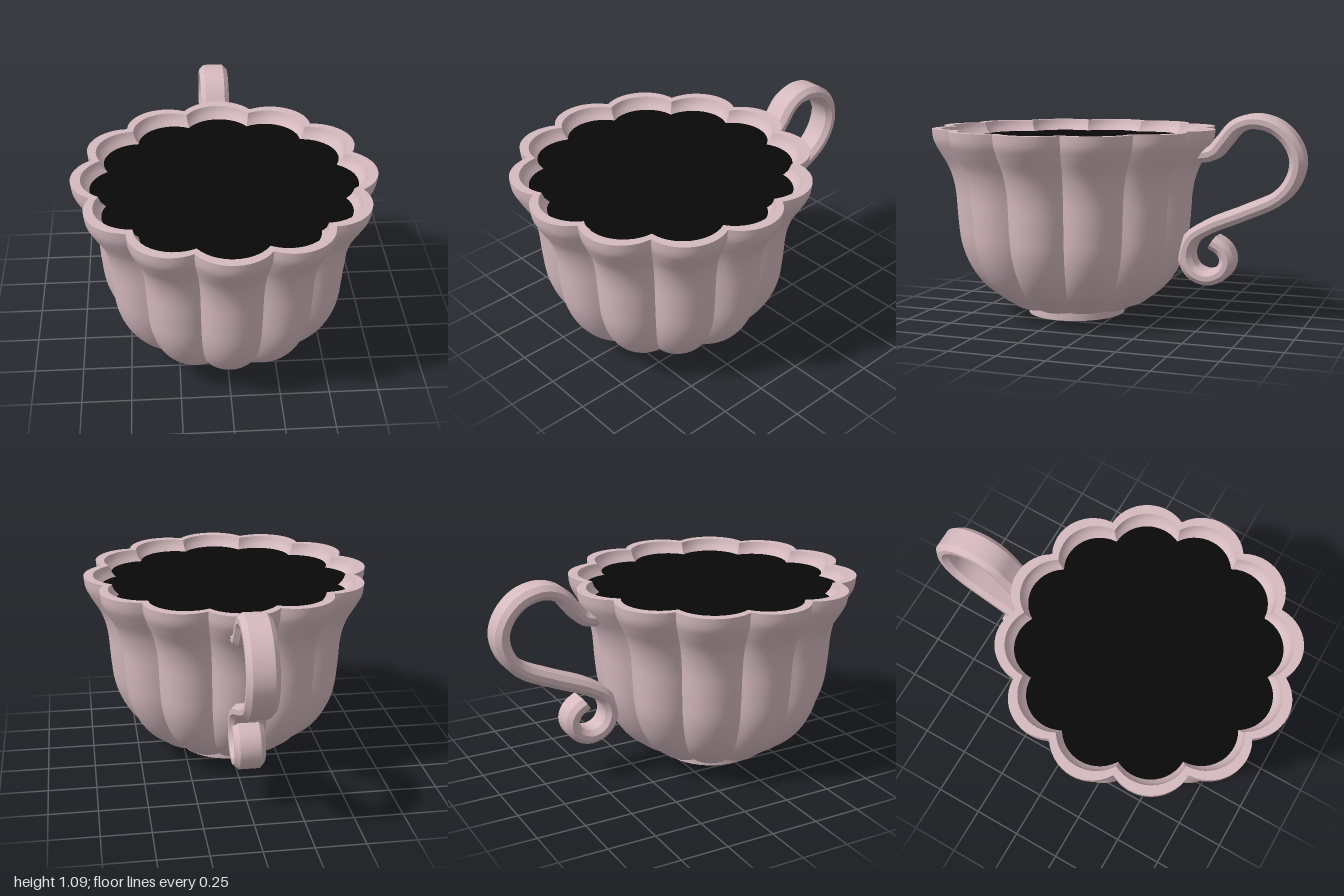
import * as THREE from 'three';
import { mergeGeometries } from 'three/addons/utils/BufferGeometryUtils.js';

const LOBES = 12;
const CENTRE_Z = 0.24;

// Smooth surface patch from a point function of (u, v); it faces du x dv
function patch(point, nu, nv) {
  const positions = [], index = [];
  for (let j = 0; j <= nv; j++)
    for (let i = 0; i <= nu; i++) positions.push(...point(i / nu, j / nv));
  for (let j = 0; j < nv; j++)
    for (let i = 0; i < nu; i++) {
      const a = j * (nu + 1) + i, b = a + 1, c = a + nu + 1, d = c + 1;
      index.push(a, b, d, a, d, c);
    }
  const g = new THREE.BufferGeometry();
  g.setAttribute('position', new THREE.Float32BufferAttribute(positions, 3));
  g.setIndex(index);
  g.computeVertexNormals();
  return g;
}

// Relative radius of one petal: a circular arc with cusps at its two ends
function petalRadius(angle) {
  const d = 0.727, r = 0.273;
  return d * Math.cos(angle) + Math.sqrt(r * r - (d * Math.sin(angle)) ** 2);
}

// Twelve petals swept along a [radius, height] profile, sharp at the cusps
function scalloped(profile, steps) {
  const curve = new THREE.SplineCurve(profile.map(([r, y]) => new THREE.Vector2(r, y)));
  const petal = patch((u, v) => {
    const angle = (u - 0.5) * 2 * Math.PI / LOBES;
    const p = curve.getPoint(v);
    const r = p.x * petalRadius(angle);
    return [r * Math.sin(angle), p.y, r * Math.cos(angle)];
  }, 14, steps);
  const petals = [];
  for (let k = 0; k < LOBES; k++) petals.push(petal.clone().rotateY(k * 2 * Math.PI / LOBES));
  return mergeGeometries(petals);
}

// Bevelled bar swept along a path in the x = 0 plane
function sweptBar(path, halfWidth, halfThick, bevel, steps) {
  const w = halfWidth, t = halfThick, b = bevel;
  const section = [[w, -t + b], [w, t - b], [w - b, t], [-w + b, t],
    [-w, t - b], [-w, -t + b], [-w + b, -t], [w - b, -t]];
  const xAxis = new THREE.Vector3(1, 0, 0);
  const at = (v, x, n) => {
    const normal = path.getTangentAt(v).cross(xAxis).normalize();
    const p = path.getPointAt(v).addScaledVector(normal, n);
    return [x, p.y, p.z];
  };
  const parts = section.map((s, k) => {
    const e = section[(k + 1) % section.length];
    return patch((u, v) => at(v, s[0] + (e[0] - s[0]) * u, s[1] + (e[1] - s[1]) * u), 1, steps);
  });
  // End caps
  for (const end of [0, 1]) {
    const ring = section.map(([x, n]) => at(end, x, n));
    if (end === 0) ring.reverse();
    const cap = new THREE.BufferGeometry();
    cap.setAttribute('position', new THREE.Float32BufferAttribute(ring.flat(), 3));
    const index = [];
    for (let k = 1; k < ring.length - 1; k++) index.push(0, k, k + 1);
    cap.setIndex(index);
    cap.computeVertexNormals();
    parts.push(cap);
  }
  return mergeGeometries(parts);
}

export function createModel() {
  const china = new THREE.MeshStandardMaterial({ color: 0xd5babf });
  china.name = 'pink china';
  const dark = new THREE.MeshStandardMaterial({ color: 0x080808 });
  dark.name = 'dark drink';

  const model = new THREE.Group();
  model.name = 'teacup';
  const cup = new THREE.Group();
  cup.name = 'cup';
  cup.position.z = CENTRE_Z;
  model.add(cup);

  const add = (parent, name, geometry, material) => {
    const mesh = new THREE.Mesh(geometry, material);
    mesh.name = name;
    parent.add(mesh);
    return mesh;
  };

  // Bowl: flared petals narrowing to the foot
  add(cup, 'bowl', scalloped([
    [0.2, 0.04], [0.34, 0.055], [0.415, 0.1], [0.5, 0.17], [0.57, 0.27], [0.615, 0.39],
    [0.632, 0.53], [0.643, 0.68], [0.672, 0.79], [0.722, 0.88], [0.752, 0.94], [0.76, 1],
  ], 44), china);

  // Rim top and the short inner lip
  add(cup, 'rim', scalloped([[0.76, 1], [0.71, 1]], 1), china);
  add(cup, 'innerLip', scalloped([[0.71, 1], [0.695, 0.965], [0.655, 0.925]], 6), china);

  // Drink filling the cup to just below the rim
  add(cup, 'drink', scalloped([[0.668, 0.94], [0, 0.94]], 1), dark);

  // Foot
  const foot = add(cup, 'foot', new THREE.CylinderGeometry(0.26, 0.26, 0.05, 48), china);
  foot.position.y = 0.025;

  // Handle: a loop running down into a curl, points as [z, y]
  const path = new THREE.CatmullRomCurve3([
    [-0.45, 0.87], [-0.52, 0.885], [-0.575, 0.945], [-0.64, 1.02], [-0.73, 1.05], [-0.84, 1.025],
    [-0.925, 0.945], [-0.957, 0.85], [-0.93, 0.745], [-0.86, 0.665], [-0.685, 0.58],
    [-0.5, 0.5], [-0.41, 0.435], [-0.383, 0.345], [-0.42, 0.265], [-0.5, 0.235],
    [-0.58, 0.27], [-0.605, 0.335], [-0.58, 0.39], [-0.525, 0.425],
  ].map(([z, y]) => new THREE.Vector3(0, y, z)));
  add(model, 'handle', sweptBar(path, 0.077, 0.038, 0.025, 110), china);

  return model;
}
